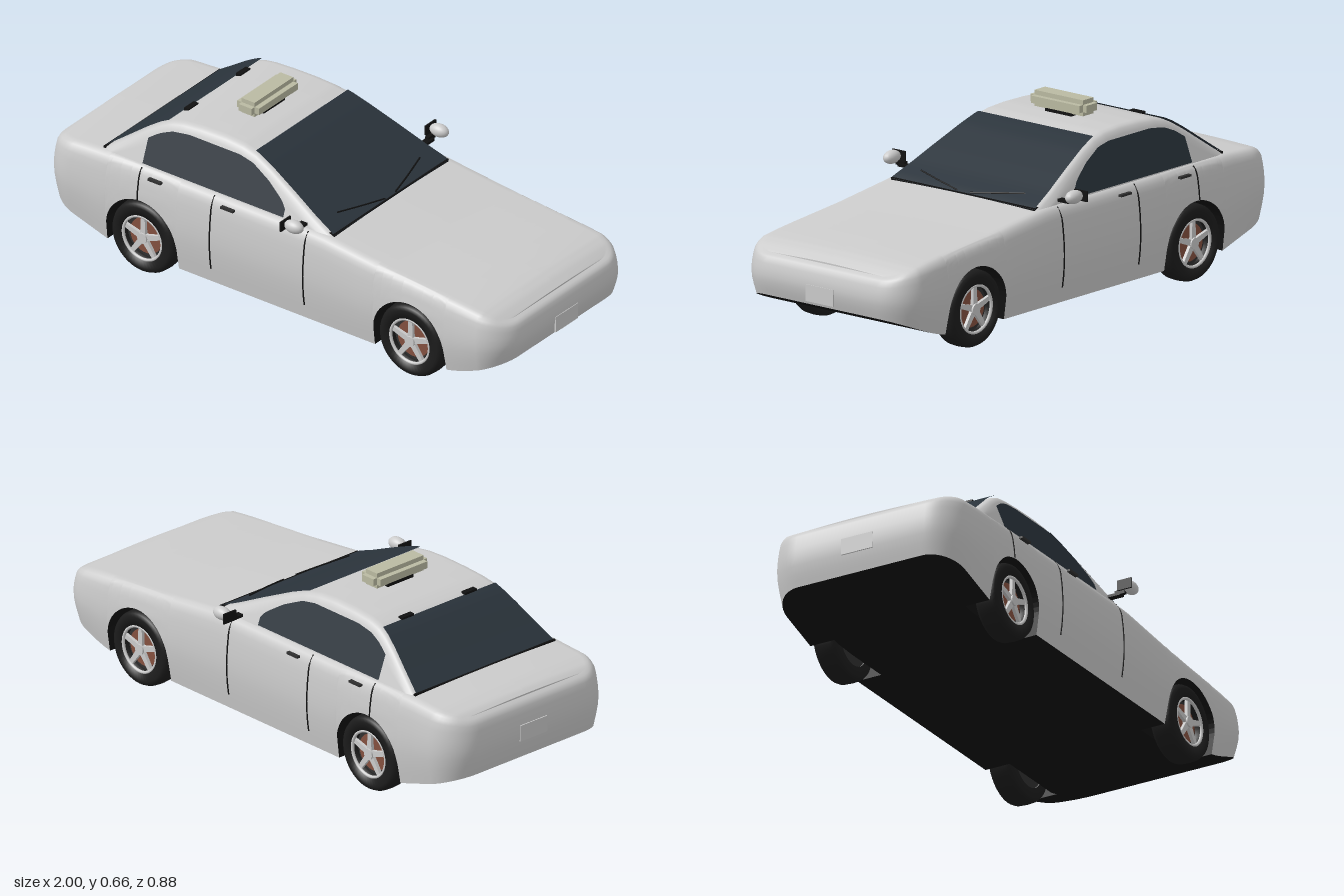
import * as THREE from 'three';

const mat = (color, extra = {}) => new THREE.MeshStandardMaterial({ color, side: THREE.DoubleSide, ...extra });
const paint = mat(0xcccccc), black = mat(0x111111), under = mat(0x111111, { flatShading: true });
const glass = mat(0x2a333b), rubber = mat(0x1c1c1c), rust = mat(0x84503f), cream = mat(0xbabaa2), dark = mat(0x303030);

// Linear interpolation through [x, y] points
function interp(pts, x) {
  if (x <= pts[0][0]) return pts[0][1];
  for (let i = 1; i < pts.length; i++) {
    const [x0, y0] = pts[i - 1], [x1, y1] = pts[i];
    if (x <= x1) return y0 + (y1 - y0) * (x - x0) / (x1 - x0);
  }
  return pts[pts.length - 1][1];
}

// Surface from rows of [x, y, z] points
function surface(rows, closed = false) {
  const n = rows[0].length, idx = [];
  for (let i = 0; i < rows.length - 1; i++) {
    for (let j = 0; j < (closed ? n : n - 1); j++) {
      const k = (j + 1) % n, a = i * n + j, b = i * n + k, c = a + n, d = b + n;
      idx.push(a, b, d, a, d, c);
    }
  }
  const g = new THREE.BufferGeometry();
  g.setAttribute('position', new THREE.Float32BufferAttribute(rows.flat(2), 3));
  g.setIndex(idx);
  g.computeVertexNormals();
  return g;
}

function add(parent, name, geo, material, x = 0, y = 0, z = 0) {
  const m = new THREE.Mesh(geo, material);
  m.name = name;
  m.position.set(x, y, z);
  parent.add(m);
  return m;
}
const box = (w, h, d) => new THREE.BoxGeometry(w, h, d);
const disc = (r, d, seg = 32) => new THREE.CylinderGeometry(r, r, d, seg).rotateX(Math.PI / 2);
const tube = (pts, r) => new THREE.TubeGeometry(
  new THREE.CatmullRomCurve3(pts.map(p => new THREE.Vector3(...p))), 16, r, 6);
const range = (a, b, n) => Array.from({ length: n + 1 }, (_, i) => a + (b - a) * i / n);

// Body profile rules
const HALF = 0.38, CORNER = 0.13, WHEELS = [-0.56, 0.6], WHEEL_Y = 0.138, ARCH = 0.153;
const topY = x => interp([[-1, 0.385], [-0.97, 0.396], [-0.9, 0.405], [-0.75, 0.414], [0.2, 0.412],
  [0.5, 0.377], [0.75, 0.355], [0.88, 0.342], [0.95, 0.327], [1, 0.308]], x);
const bottomY = x => interp([[-1, 0.17], [-0.7, 0.075], [-0.6, 0.07], [0.72, 0.07], [0.8, 0.088], [1, 0.16]], x);
const inset = f => interp([[0, 0.018], [0.3, 0.003], [0.5, 0], [0.72, 0.004], [0.88, 0.012], [0.96, 0.022], [1, 0.038]], f);
const sideZ = (x, y) => HALF - inset((y - bottomY(x)) / (topY(x) - bottomY(x)));
function archY(x) {
  let y = bottomY(x);
  for (const c of WHEELS) {
    const s = ARCH * ARCH - (x - c) ** 2;
    if (s >= -1e-9) y = Math.max(y, WHEEL_Y + Math.sqrt(Math.max(s, 0)));
  }
  return y;
}

// Plan outline with rounded corners, each point with its outward normal
function planOutline() {
  const half = [], c = 1 - CORNER, zc = HALF - CORNER;
  for (const z of range(0, zc, 5).slice(0, -1)) half.push([-1, z, -1, 0]);
  for (const a of range(0, Math.PI / 2, 10)) {
    half.push([-c - CORNER * Math.cos(a), zc + CORNER * Math.sin(a), -Math.cos(a), Math.sin(a)]);
  }
  const xs = range(-c, c, 40).slice(1, -1);
  for (const w of WHEELS) {
    xs.push(w - ARCH - 0.002, w + ARCH + 0.002);
    for (const a of range(0, Math.PI, 28)) xs.push(w + ARCH * Math.cos(a));
  }
  xs.sort((a, b) => a - b).forEach(x => half.push([x, HALF, 0, 1]));
  const front = half.slice(0, 15).map(([x, z, nx, nz]) => [-x, z, -nx, nz]).reverse();
  const all = [...half, ...front];
  return [...all, ...all.slice(1, -1).reverse().map(([x, z, nx, nz]) => [x, -z, nx, -nz])];
}

function buildBody(car) {
  const outline = planOutline();
  const wall = ([x, z, nx, nz], f) => {
    const yb = bottomY(x), yt = topY(x), y0 = archY(x), y = y0 + (yt - y0) * f;
    const d = inset((y - yb) / (yt - yb));
    return [x - nx * d, y, z - nz * d];
  };
  const rows = [0, 0.1, 0.2, 0.35, 0.5, 0.65, 0.78, 0.88, 0.93, 0.97, 1].map(f => outline.map(p => wall(p, f)));
  const rim = rows[rows.length - 1];
  for (const k of [0.95, 0.85, 0.65, 0.4, 0.2, 0]) {
    rows.push(rim.map(([x, y, z]) => [x, y + 0.006 * (1 - k * k), z * k]));
  }
  add(car, 'body', surface(rows, true), paint);
  // Floor with wheel wells
  const inner = z => Math.sign(z) * Math.min(Math.abs(z), 0.265);
  const edge = rows[0];
  add(car, 'underside', surface([
    edge.map(([x], i) => [x, bottomY(outline[i][0]), 0]),
    edge.map(([x, , z], i) => [x, bottomY(outline[i][0]), inner(z)]),
    edge.map(([x, y, z]) => [x, y, inner(z)]),
    edge,
  ], true), under);
}

// Cabin profile rules
const roofY = x => interp([[-0.77, 0.4], [-0.75, 0.418], [-0.68, 0.468], [-0.6, 0.526], [-0.55, 0.558], [-0.51, 0.577],
  [-0.46, 0.588], [-0.38, 0.594], [-0.28, 0.596], [-0.2, 0.591], [-0.14, 0.579], [-0.07, 0.552],
  [0.05, 0.497], [0.15, 0.449], [0.22, 0.419], [0.25, 0.403]], x);
const cabinZ = y => 0.34 - (y - 0.41) * 0.38;

function buildCabin(car) {
  const xs = range(-0.77, 0.25, 68);
  const half = x => {
    const h = roofY(x);
    return [...range(0.38, Math.max(0.381, h - 0.025), 4).map(y => [x, y, cabinZ(y)]),
      [x, h - 0.01, cabinZ(h) - 0.003], [x, h - 0.003, cabinZ(h) - 0.012],
      [x, h, cabinZ(h) - 0.028], [x, h + 0.001, cabinZ(h) * 0.5], [x, h + 0.001, 0]];
  };
  const cols = xs.map(x => {
    const s = half(x);
    return [...s, ...s.slice(0, -1).reverse().map(([a, b, c]) => [a, b, -c])];
  });
  add(car, 'cabin', surface(cols[0].map((_, i) => cols.map(c => c[i]))), paint);

  // Windscreen and rear window follow the roof line
  const pane = (x0, x1) => surface([1, 0.5, 0, -0.5, -1].map(k => range(x0, x1, 20).map(x => {
    const h = roofY(x) + 0.005;
    return [x + (x > -0.3 ? 0.002 : -0.002), h, k * (cabinZ(h) - 0.012)];
  })));
  add(car, 'windscreen', pane(-0.15, 0.24), glass);
  add(car, 'rearWindow', pane(-0.75, -0.52), glass);

  // Side windows
  const winTop = x => interp([[-0.58, 0.505], [-0.54, 0.532], [-0.49, 0.553], [-0.42, 0.563], [-0.2, 0.563],
    [-0.14, 0.553], [-0.06, 0.516], [0.01, 0.47], [0.03, 0.446]], x);
  for (const s of [1, -1]) {
    const wx = range(-0.58, 0.03, 40);
    if (s < 0) wx.reverse();
    add(car, 'sideWindow', surface(range(0, 1, 4).map(t => wx.map(x => {
      const y = 0.418 + (winTop(x) - 0.418) * t;
      return [x, y, s * (cabinZ(y) + 0.003)];
    }))), glass);
  }
}

// Wheel with its outer face toward +z
function buildWheel() {
  const w = new THREE.Group();
  w.name = 'wheel';
  const profile = [[0.088, -0.045], [0.118, -0.045], [0.13, -0.04], [0.136, -0.028], [0.138, 0], [0.136, 0.028],
    [0.13, 0.04], [0.118, 0.045], [0.088, 0.043], [0.086, 0.01]].map(p => new THREE.Vector2(...p));
  add(w, 'tyre', new THREE.LatheGeometry(profile, 48).rotateX(Math.PI / 2), rubber);
  add(w, 'wheelBack', disc(0.088, 0.05), dark, 0, 0, -0.015);
  add(w, 'brakeDisc', disc(0.068, 0.01), rust, 0, 0, 0.015);
  add(w, 'rim', new THREE.TorusGeometry(0.084, 0.006, 8, 48), paint, 0, 0, 0.038);
  add(w, 'hub', disc(0.02, 0.02, 20), paint, 0, 0, 0.034);
  for (let i = 0; i < 5; i++) {
    const shape = new THREE.Shape([[-0.012, 0], [0.012, 0], [0.008, 0.085], [-0.008, 0.085]].map(p => new THREE.Vector2(...p)));
    const spoke = add(w, 'spoke', new THREE.ExtrudeGeometry(shape, { depth: 0.012, bevelEnabled: false }), paint, 0, 0, 0.026);
    spoke.rotation.z = i * Math.PI * 2 / 5;
  }
  return w;
}

export function createModel() {
  const car = new THREE.Group();
  car.name = 'car';
  buildBody(car);
  buildCabin(car);

  for (const s of [1, -1]) {
    for (const x of WHEELS) {
      const w = buildWheel();
      w.position.set(x, WHEEL_Y, s * 0.327);
      if (s < 0) w.rotation.y = Math.PI;
      car.add(w);
    }
    // Door seams and handles
    for (const [x, y0] of [[0.145, 0.125], [-0.26, 0.125], [-0.575, 0.292]]) {
      add(car, 'doorSeam', tube(range(y0, 0.408, 8).map(y => [x, y, s * sideZ(x, y)]), 0.003), black);
    }
    for (const x of [-0.5, -0.185]) add(car, 'doorHandle', box(0.055, 0.008, 0.014), dark, x, 0.39, s * 0.374);

    // Door mirror
    add(car, 'mirrorArm', box(0.025, 0.01, 0.05), black, 0.12, 0.427, s * 0.362);
    add(car, 'mirrorStem', box(0.015, 0.016, 0.04), black, 0.115, 0.432, s * 0.385);
    add(car, 'mirrorGlass', box(0.006, 0.038, 0.058), black, 0.095, 0.45, s * 0.413);
    add(car, 'mirrorShell', new THREE.SphereGeometry(0.024, 20, 14).scale(1.6, 1, 1), paint, 0.133, 0.452, s * 0.413);

    // Wipers and rear window clips
    const wiper = [[0.235, 0.03], [0.215, 0.12], [0.185, 0.235]];
    add(car, 'wiper', tube(wiper.map(([x, z]) => [x, roofY(x) + 0.011, s * z]), 0.003), black);
    add(car, 'rearClip', box(0.02, 0.012, 0.055), black, -0.515, 0.578, s * 0.148);
  }
  add(car, 'cowl', box(0.03, 0.012, 0.65), black, 0.226, 0.411);
  add(car, 'rearWindowSeal', box(0.008, 0.01, 0.66), black, -0.752, 0.416);

  // Number plates
  add(car, 'frontPlate', box(0.006, 0.06, 0.126), paint, 0.999, 0.205);
  add(car, 'rearPlate', box(0.006, 0.06, 0.126), paint, -0.999, 0.27);

  // Roof lamp
  add(car, 'lampBase', box(0.06, 0.014, 0.12), black, -0.297, 0.6);
  add(car, 'lampBody', box(0.056, 0.057, 0.22), cream, -0.297, 0.634);
  add(car, 'lampBand', box(0.095, 0.026, 0.22), cream, -0.297, 0.633);
  add(car, 'lampEnds', box(0.056, 0.026, 0.254), cream, -0.297, 0.633);
  return car;
}
